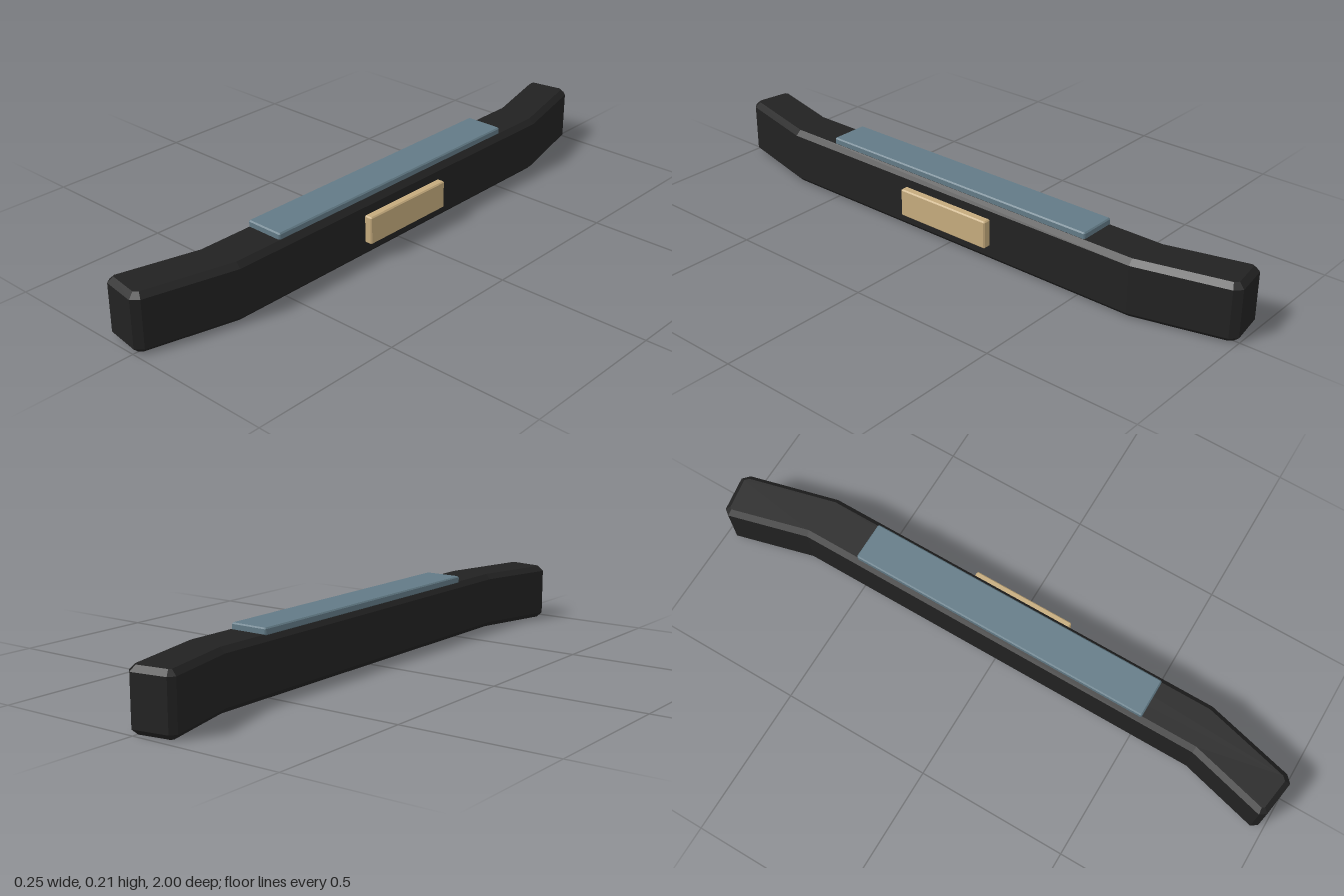
import * as THREE from 'three';

const rubber = new THREE.MeshStandardMaterial({ color: 0x222222 });
rubber.name = 'blackRubber';
const blue = new THREE.MeshStandardMaterial({ color: 0x627a86 });
blue.name = 'blueGrey';
const tan = new THREE.MeshStandardMaterial({ color: 0xc5ab7d });
tan.name = 'tan';

// Slab with chamfered edges: outline is [x, z] points, standing from y0 to y1
function chamferedSlab(name, outline, y0, y1, chamfer, material) {
  const shape = new THREE.Shape(outline.map(([x, z]) => new THREE.Vector2(x, -z)));
  const geometry = new THREE.ExtrudeGeometry(shape, {
    depth: y1 - y0 - 2 * chamfer,
    bevelEnabled: true,
    bevelSegments: 1,
    bevelSize: chamfer,
    bevelThickness: chamfer,
    bevelOffset: -chamfer,
  });
  geometry.rotateX(-Math.PI / 2);
  geometry.translate(0, y0 + chamfer, 0);
  const mesh = new THREE.Mesh(geometry, material);
  mesh.name = name;
  return mesh;
}

// Rectangle outline with cut corners, symmetric in z
function cutRectangle(x0, x1, z, c) {
  return [
    [x0 + c, z], [x1 - c, z], [x1, z - c], [x1, -z + c],
    [x1 - c, -z], [x0 + c, -z], [x0, -z + c], [x0, z - c],
  ];
}

export function createModel() {
  const model = new THREE.Group();
  model.name = 'bumper';

  // Bar with both ends swept back; the half outline is mirrored in z
  const half = [
    [0.1, 0.685], [0.026, 0.978], [0.004, 0.999],
    [-0.113, 0.981], [-0.128, 0.961], [-0.06, 0.7],
  ];
  const outline = [...half, ...half.map(([x, z]) => [x, -z]).reverse()];
  model.add(chamferedSlab('bumperBar', outline, 0, 0.19, 0.017, rubber));

  // Step pad on top
  model.add(chamferedSlab('stepPad', cutRectangle(-0.048, 0.082, 0.515, 0.004), 0.186, 0.21, 0.004, blue));

  // Plate on the outer side
  model.add(chamferedSlab('sidePlate', cutRectangle(0.098, 0.127, 0.174, 0.004), 0.053, 0.146, 0.004, tan));

  return model;
}
